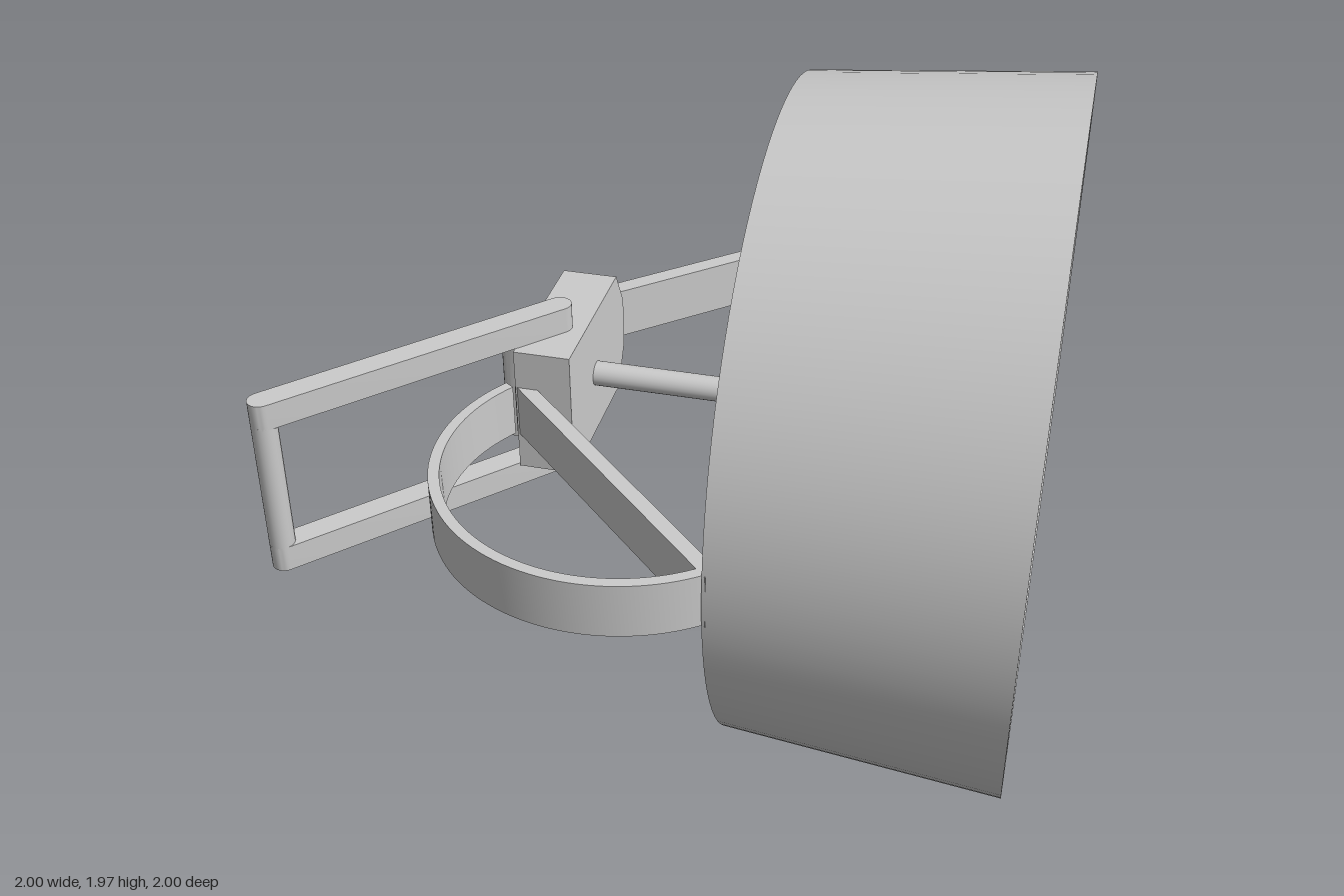
import * as THREE from 'three';
import { toCreasedNormals } from 'three/addons/utils/BufferGeometryUtils.js';

const AXIS_Y = 0.99, AXIS_Z = -0.015;
const grey = new THREE.MeshStandardMaterial({ color: 0xcccccc });
const greyThin = new THREE.MeshStandardMaterial({ color: 0xcccccc, side: THREE.DoubleSide });

export function createModel() {
  const group = new THREE.Group();
  const add = (name, geometry, material = grey) => {
    const mesh = new THREE.Mesh(geometry, material);
    mesh.name = name;
    group.add(mesh);
    return mesh;
  };

  // Plan outline given as [x, z] pairs, raised from y0 to y1
  const slab = (points, y0, y1) => {
    const shape = new THREE.Shape(points.map(([x, z]) => new THREE.Vector2(x, -z)));
    const g = new THREE.ExtrudeGeometry(shape, { depth: y1 - y0, bevelEnabled: false });
    g.rotateX(-Math.PI / 2).translate(0, y0, 0);
    return toCreasedNormals(g, 0.6);
  };
  // Outline in z and y, extruded towards -x from x0
  const sideways = (shape, x0, options) => {
    const g = new THREE.ExtrudeGeometry(shape, { bevelEnabled: false, ...options });
    return g.rotateY(-Math.PI / 2).translate(x0, 0, 0);
  };
  const arc = (cx, cz, r, from, to, n) => Array.from({ length: n + 1 }, (_, i) => {
    const a = from + (to - from) * i / n;
    return [cx + r * Math.cos(a), cz + r * Math.sin(a)];
  });

  // Flared duct, axis along x
  const profile = [[0.85, 0.24], [0.92, 0.24], [0.985, 1], [0.915, 1], [0.85, 0.24]];
  const duct = new THREE.LatheGeometry(profile.map(([r, x]) => new THREE.Vector2(r, x)), 96);
  duct.rotateZ(-Math.PI / 2).translate(0, AXIS_Y, AXIS_Z);
  add('duct', toCreasedNormals(duct, 0.5));

  // Drive shaft with hub tip
  const shaft = new THREE.CylinderGeometry(0.036, 0.036, 1.15, 24);
  add('driveShaft', shaft.rotateZ(-Math.PI / 2).translate(0.225, AXIS_Y, AXIS_Z - 0.01));

  // Propeller: three helical blades, outline as [angle in degrees, radius]
  const outline = new THREE.SplineCurve([
    [-53, 0.5], [-48, 0.67], [-40, 0.75], [-26, 0.775], [-5, 0.785],
    [23, 0.8], [35, 0.785], [45, 0.745], [51, 0.66], [54, 0.53],
  ].map(([a, r]) => new THREE.Vector2(a, r)));
  const bladeGeometry = centre => {
    const across = 60, along = 10, positions = [], index = [];
    for (let i = 0; i <= across; i++) {
      const p = outline.getPoint(i / across);
      const a = THREE.MathUtils.degToRad(centre + p.x);
      const x = 0.78 - 0.47 * (54 - p.x) / 107;
      for (let j = 0; j <= along; j++) {
        const r = THREE.MathUtils.lerp(0.02, p.y, j / along);
        positions.push(x, AXIS_Y + r * Math.sin(a), AXIS_Z - 0.01 - r * Math.cos(a));
        if (i < across && j < along) {
          const k = i * (along + 1) + j, n = k + along + 1;
          index.push(k, k + 1, n, k + 1, n + 1, n);
        }
      }
    }
    const g = new THREE.BufferGeometry();
    g.setAttribute('position', new THREE.Float32BufferAttribute(positions, 3));
    g.setIndex(index);
    g.computeVertexNormals();
    return g;
  };
  [67, 187, 307].forEach((angle, i) => add(`blade${i + 1}`, bladeGeometry(angle), greyThin));

  // Gearbox with chamfered rear end
  const box = new THREE.Shape([
    [0.22, 0.805], [0.22, 1.185], [-0.25, 1.185], [-0.315, 1.07], [-0.315, 0.92], [-0.25, 0.805],
  ].map(p => new THREE.Vector2(...p)));
  add('gearbox', sideways(box, -0.295, { depth: 0.16 }));

  // Slotted boss on the gearbox
  const rect = (Type, cz, cy, w, h) => new Type([[-1, -1], [1, -1], [1, 1], [-1, 1]]
    .map(([u, v]) => new THREE.Vector2(cz + u * w / 2, cy + v * h / 2)));
  const boss = rect(THREE.Shape, 0.06, 0.995, 0.08, 0.25);
  boss.holes.push(rect(THREE.Path, 0.06, 0.995, 0.06, 0.13));
  add('boss', toCreasedNormals(sideways(boss, -0.45, {
    depth: 0.05, bevelEnabled: true, bevelThickness: 0.03, bevelSize: 0.03, bevelSegments: 5,
  }), 0.6));

  // Struts from gearbox to duct
  add('rearStrut', slab([[-0.45, -0.31], [-0.37, -0.31], [0.25, -0.87], [0.25, -0.935]], 0.915, 1.07));
  add('frontStrut', slab([[-0.46, 0.21], [-0.4, 0.21], [0.25, 0.845], [0.25, 0.905]], 0.915, 1.07));

  // Curved guard
  const start = Math.PI * 1.19, end = Math.PI * 0.285;
  add('curvedGuard', slab([
    ...arc(-0.065, 0.49, 0.51, start, end, 56),
    ...arc(-0.065, 0.49, 0.48, end, start, 56),
  ], 0.915, 1.07));

  // Handle: two round-ended arms joined by a grip
  const inner = [-0.37, 0.06], outer = [-0.965, 0.705];
  const heading = Math.atan2(outer[1] - inner[1], outer[0] - inner[0]);
  const arm = [
    ...arc(...outer, 0.035, heading - Math.PI / 2, heading + Math.PI / 2, 14),
    ...arc(...inner, 0.035, heading + Math.PI / 2, heading + Math.PI * 1.5, 14),
  ];
  add('upperHandleArm', slab(arm, 1.185, 1.26));
  add('lowerHandleArm', slab(arm, 0.73, 0.805));
  add('handleGrip', new THREE.CylinderGeometry(0.035, 0.035, 0.39, 28).translate(outer[0], 0.995, outer[1]));

  return group;
}
